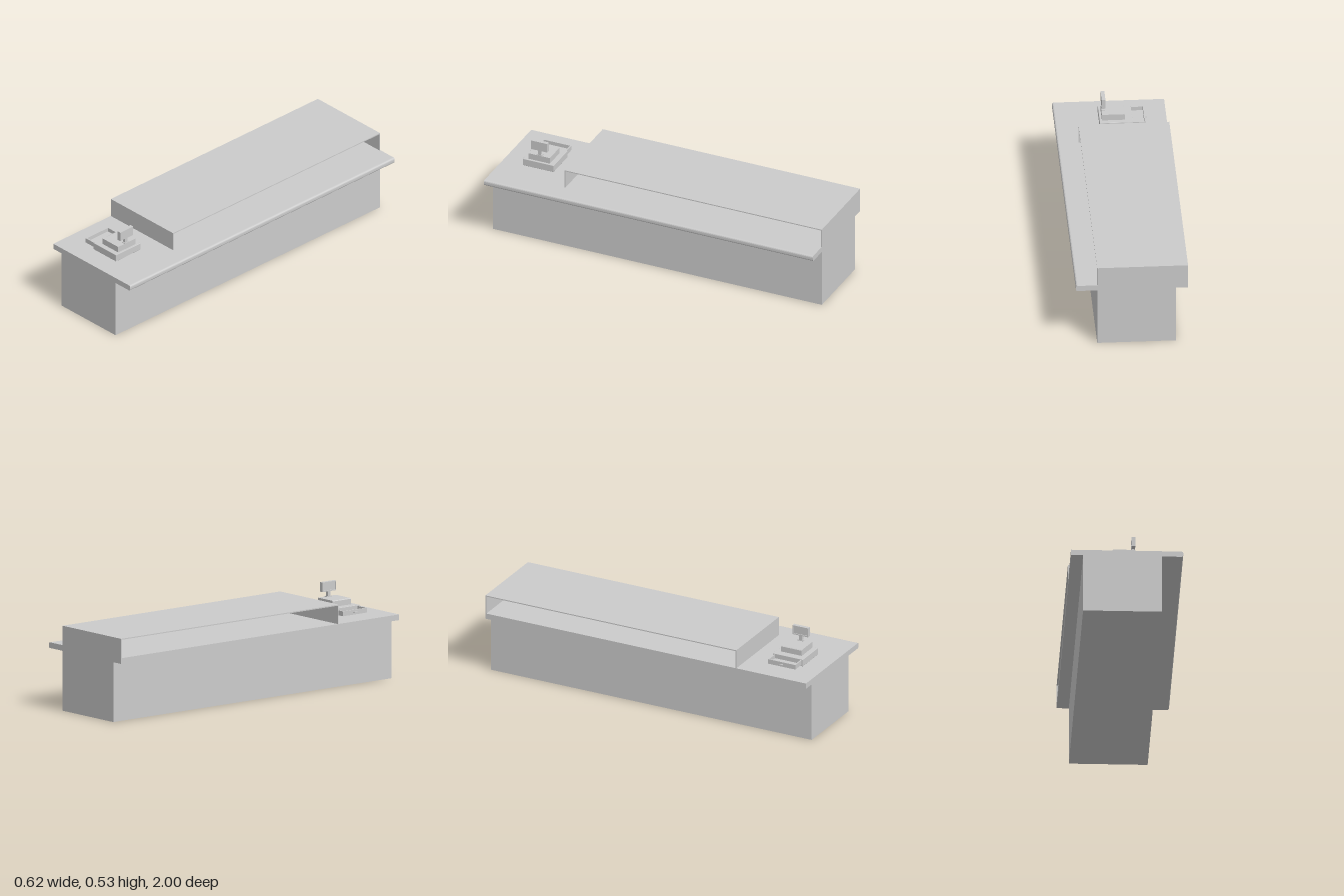
import * as THREE from 'three';
import { RoundedBoxGeometry } from 'three/addons/geometries/RoundedBoxGeometry.js';

const mat = new THREE.MeshStandardMaterial({ color: 0xcccccc });

function add(parent, name, geometry) {
  const mesh = new THREE.Mesh(geometry, mat);
  mesh.name = name;
  parent.add(mesh);
  return mesh;
}

// Box given by its limits on each axis; r > 0 softens the edges
function box(parent, name, [x0, x1], [y0, y1], [z0, z1], r = 0) {
  const size = [x1 - x0, y1 - y0, z1 - z0];
  const geo = r ? new RoundedBoxGeometry(...size, 2, r) : new THREE.BoxGeometry(...size);
  add(parent, name, geo).position.set((x0 + x1) / 2, (y0 + y1) / 2, (z0 + z1) / 2);
}

// Profile in x/y extruded between two z values
function extrudeZ(parent, name, shape, z0, z1) {
  const geo = new THREE.ExtrudeGeometry(shape, { depth: z1 - z0, bevelEnabled: false, curveSegments: 6 });
  add(parent, name, geo).position.z = z0;
}

function createCounter() {
  const g = new THREE.Group();
  g.name = 'counter';
  box(g, 'counterBody', [-0.243, 0.192], [0, 0.336], [-1, 1]);

  // Worktop with a rounded customer-side edge
  const y0 = 0.336, y1 = 0.368, r = 0.012, x1 = 0.31;
  const top = new THREE.Shape();
  top.moveTo(-0.31, y0);
  top.lineTo(x1 - r, y0);
  top.quadraticCurveTo(x1, y0, x1, y0 + r);
  top.lineTo(x1, y1 - r);
  top.quadraticCurveTo(x1, y1, x1 - r, y1);
  top.lineTo(-0.31, y1);
  extrudeZ(g, 'worktop', top, -1, 1);
  return g;
}

// Thin raised shelf, open along both long sides
function createShelf() {
  const g = new THREE.Group();
  g.name = 'raisedShelf';
  const t = 0.006, x = [-0.31, 0.192], yTop = 0.477;
  box(g, 'shelfTop', x, [yTop - t, yTop], [-1, 0.565]);
  box(g, 'shelfFrontPanel', x, [0.368, yTop - t], [0.565 - t, 0.565]);
  box(g, 'shelfBackPanel', x, [0.368, yTop - t], [-1, -1 + t]);
  return g;
}

function createRegister() {
  const g = new THREE.Group();
  g.name = 'cashRegister';
  const zc = 0.784;
  const span = (w) => [zc - w / 2, zc + w / 2];
  box(g, 'registerBase', [-0.117, 0.065], [0.368, 0.409], span(0.188), 0.002);

  // Open cash drawer
  const y = [0.377, 0.404], t = 0.007, w = 0.172;
  box(g, 'drawerFloor', [-0.19, -0.117], [y[0], y[0] + 0.005], span(w));
  box(g, 'drawerFront', [-0.19, -0.19 + t], y, span(w));
  for (const s of [-1, 1]) {
    const z = zc + s * (w - t) / 2;
    box(g, 'drawerSide', [-0.19 + t, -0.117], y, [z - t / 2, z + t / 2]);
  }
  box(g, 'drawerHandle', [-0.198, -0.19], [0.387, 0.392], span(0.02));

  // Keyboard housing with a chamfered operator edge
  const k = new THREE.Shape();
  k.moveTo(-0.075, 0.409);
  k.lineTo(0.052, 0.409);
  k.lineTo(0.052, 0.444);
  k.lineTo(-0.071, 0.444);
  k.lineTo(-0.075, 0.44);
  extrudeZ(g, 'keyboardHousing', k, zc - 0.065, zc + 0.065);

  // Display on a short neck with a wider foot
  box(g, 'neckFoot', [0.031, 0.051], [0.444, 0.448], span(0.034));
  box(g, 'displayNeck', [0.033, 0.049], [0.448, 0.476], span(0.018));
  box(g, 'displayBack', [0.036, 0.052], [0.475, 0.529], span(0.098));

  // Raised frame around the recessed screen, facing the operator
  const b = 0.006;
  const fx = [0.031, 0.036];
  box(g, 'screenFrameTop', fx, [0.529 - b, 0.529], span(0.098));
  box(g, 'screenFrameBottom', fx, [0.475, 0.475 + b], span(0.098));
  for (const s of [-1, 1]) {
    const z = zc + s * (0.098 - b) / 2;
    box(g, 'screenFrameSide', fx, [0.475 + b, 0.529 - b], [z - b / 2, z + b / 2]);
  }
  return g;
}

export function createModel() {
  const model = new THREE.Group();
  model.name = 'checkoutCounter';
  model.add(createCounter(), createShelf(), createRegister());
  return model;
}
